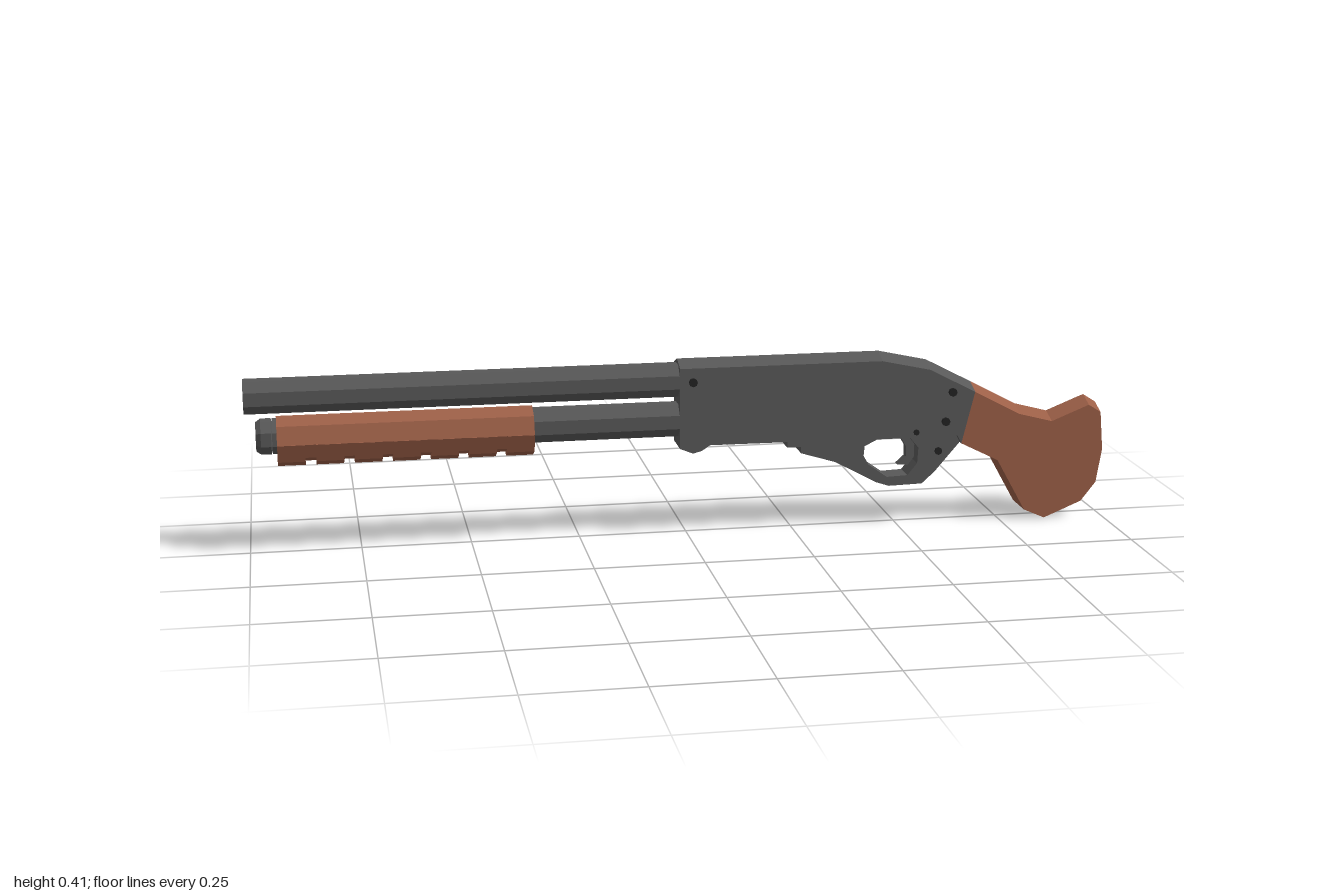
import * as THREE from 'three';

const material = (name, color) => {
  const m = new THREE.MeshStandardMaterial({ color });
  m.name = name;
  return m;
};

export function createModel() {
  const group = new THREE.Group();
  const metal = material('gunmetal', 0x585858);
  const wood = material('wood', 0x9c5f47);
  const black = material('black', 0x222222);

  const add = (name, geometry, mat) => {
    const flat = geometry.index ? geometry.toNonIndexed() : geometry;
    flat.computeVertexNormals();
    const mesh = new THREE.Mesh(flat, mat);
    mesh.name = name;
    group.add(mesh);
    return mesh;
  };
  const toPoints = (list) => list.map(([x, y]) => new THREE.Vector2(x, y));

  // Side outline extruded across z and centred on z = 0
  const slab = (outline, halfWidth, hole, steps = 1) => {
    const shape = new THREE.Shape(toPoints(outline));
    if (hole) shape.holes.push(new THREE.Path(toPoints(hole)));
    return new THREE.ExtrudeGeometry(shape, { depth: halfWidth * 2, steps, bevelEnabled: false })
      .translate(0, 0, -halfWidth);
  };

  // Slab whose top edge is lifted into a ridge along the middle
  const ridged = (top, bottom, halfWidth) => {
    const g = slab([...top, ...bottom], halfWidth, null, 2);
    const p = g.attributes.position;
    for (let i = 0; i < p.count; i++) {
      const onTop = top.some(([x, y]) => Math.hypot(p.getX(i) - x, p.getY(i) - y) < 1e-4);
      if (onTop && Math.abs(p.getZ(i)) < 1e-4) p.setY(i, p.getY(i) + 0.016);
    }
    return g;
  };

  // Eight-sided turned part along x; profile is [radius, x] from back to front
  const turned = (profile, y) =>
    new THREE.LatheGeometry(toPoints(profile.map(([r, x]) => [r, -x])), 8, Math.PI / 8)
      .rotateZ(Math.PI / 2).translate(0, y, 0);

  // Receiver with a small lip at its lower front corner
  add('receiver', ridged(
    [[-0.02, 0.4], [0.455, 0.4], [0.57, 0.375], [0.68, 0.318]],
    [[0.65, 0.195], [0.64, 0.215], [0.05, 0.218], [0.03, 0.205], [0.01, 0.2], [-0.02, 0.212]],
    0.042), metal);

  // Pistol grip
  add('grip', ridged(
    [[0.68, 0.318], [0.79, 0.26], [0.87, 0.239], [0.96, 0.275], [0.99, 0.256]],
    [[0.998, 0.165], [0.985, 0.085], [0.95, 0.04], [0.86, 0.003], [0.81, 0.025], [0.74, 0.15], [0.65, 0.195]],
    0.042), wood);

  // Barrel with a hollow muzzle, and the magazine tube with its cap
  add('barrel', turned(
    [[0.0405, 0.0], [0.0405, -1], [0.03, -1], [0.03, -0.85], [0, -0.85]], 0.367), metal);
  add('magazineTube', turned([[0.041, 0.0], [0.041, -0.94], [0, -0.94]], 0.274), metal);
  add('magazineCap', turned(
    [[0.033, -0.925], [0.033, -0.94], [0.041, -0.942], [0.041, -0.965], [0.033, -0.976], [0, -0.976]],
    0.274), metal);

  // Sliding fore-end: full upper half, slimmer lower half carrying ribs
  const halfOctagon = (sign, r, x0, x1) => {
    const pts = [];
    for (let i = 0; i <= 4; i++) {
      const a = (i * Math.PI) / 4;
      pts.push([Math.cos(a) * r * 0.9, sign * Math.sin(a) * r]);
    }
    return new THREE.ExtrudeGeometry(new THREE.Shape(toPoints(pts)), { depth: x1 - x0, bevelEnabled: false })
      .rotateY(-Math.PI / 2).translate(x1, 0.263, 0);
  };
  const foreStart = -0.93, foreEnd = -0.355, ribCount = 7, gap = 0.024;
  add('foreEndTop', halfOctagon(1, 0.057, foreStart, foreEnd), wood);
  add('foreEndBottom', halfOctagon(-1, 0.049, foreStart, foreEnd), wood);
  const ribLength = (foreEnd - foreStart - gap * (ribCount - 1)) / ribCount;
  for (let i = 0; i < ribCount; i++) {
    const x = foreStart + i * (ribLength + gap);
    add('foreEndRib', halfOctagon(-1, 0.059, x, x + ribLength), wood);
  }

  // Trigger guard with its finger opening
  add('triggerGuard', slab(
    [[0.235, 0.222], [0.235, 0.2], [0.268, 0.2], [0.268, 0.185], [0.35, 0.16], [0.45, 0.106],
      [0.48, 0.096], [0.56, 0.098], [0.59, 0.125], [0.65, 0.195], [0.64, 0.222]],
    0.028,
    [[0.418, 0.172], [0.42, 0.195], [0.45, 0.21], [0.53, 0.21], [0.55, 0.185], [0.548, 0.148],
      [0.525, 0.12], [0.475, 0.118], [0.43, 0.15]]), metal);

  // Curved trigger
  add('trigger', slab(
    [[0.505, 0.22], [0.525, 0.185], [0.525, 0.16], [0.505, 0.142], [0.53, 0.14],
      [0.545, 0.16], [0.545, 0.19], [0.535, 0.22]], 0.01), metal);

  // Cross pins
  const pins = [
    [0.01, 0.368, 0.01, 0.049], [0.625, 0.32, 0.01, 0.049], [0.61, 0.25, 0.01, 0.049],
    [0.54, 0.227, 0.007, 0.046], [0.598, 0.176, 0.009, 0.033],
  ];
  for (const [x, y, r, half] of pins) {
    add('pin', new THREE.CylinderGeometry(r, r, half * 2, 8).rotateX(Math.PI / 2).translate(x, y, 0), black);
  }

  return group;
}
